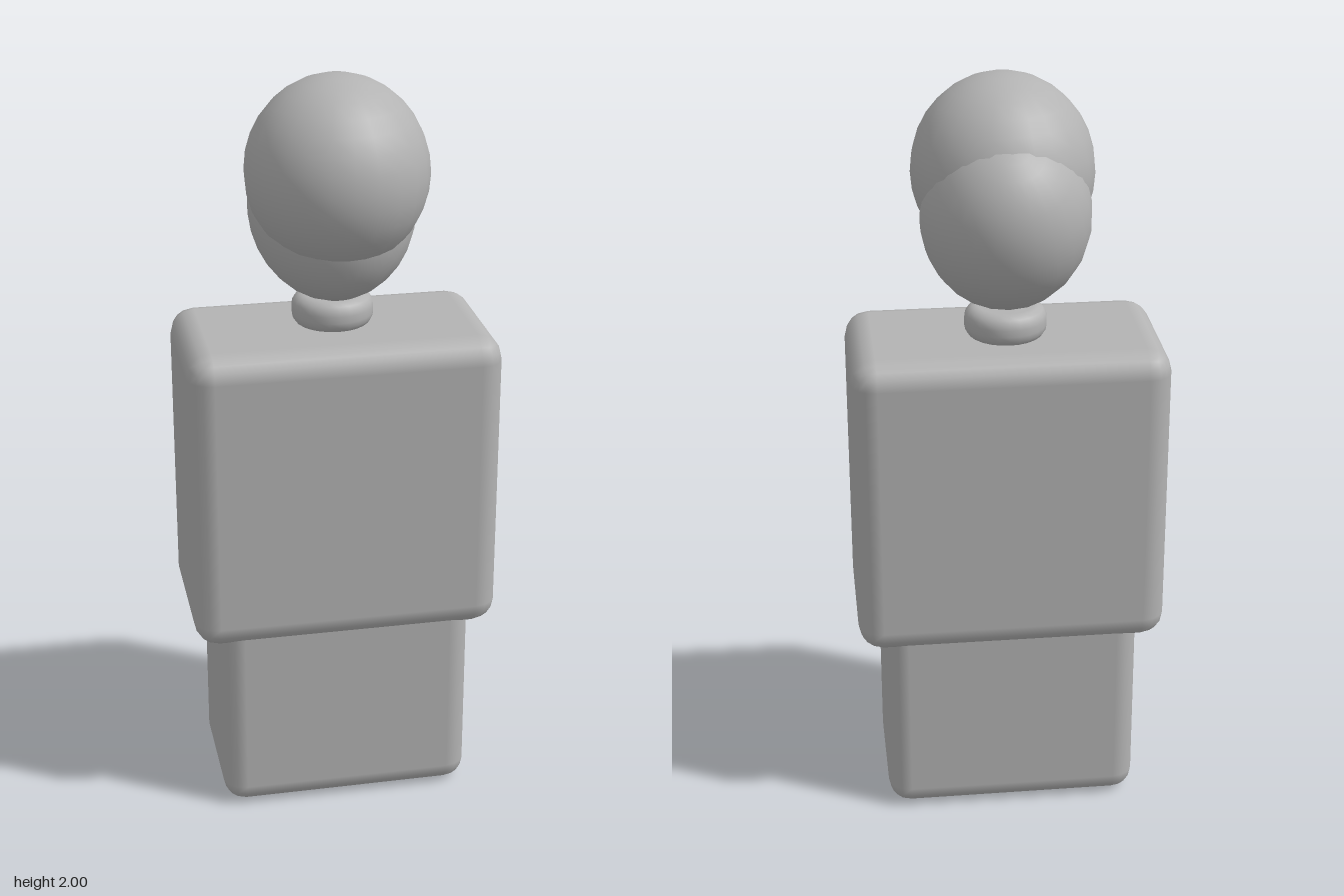
import * as THREE from 'three';
import { RoundedBoxGeometry } from 'three/addons/geometries/RoundedBoxGeometry.js';

export function createModel() {
  const model = new THREE.Group();
  model.name = 'bust';
  const grey = new THREE.MeshStandardMaterial({ color: 0xb3b3b3 });
  grey.name = 'clay grey';

  function add(name, geometry, x, y, z) {
    const mesh = new THREE.Mesh(geometry, grey);
    mesh.name = name;
    mesh.position.set(x, y, z);
    model.add(mesh);
    return mesh;
  }

  // Body blocks with softened edges
  add('pelvis', new RoundedBoxGeometry(0.68, 0.6, 0.41, 2, 0.06), 0, 0.303, -0.011);
  add('torso', new RoundedBoxGeometry(0.82, 0.825, 0.456, 2, 0.065), 0, 0.922, -0.014);

  // Neck: short disc with rounded rims
  const radius = 0.107, half = 0.043, rim = 0.034;
  const profile = [new THREE.Vector2(0, -half)];
  for (const side of [-1, 1]) {
    for (let i = 0; i <= 4; i++) {
      const a = (side < 0 ? i - 4 : i) * Math.PI / 8;
      profile.push(new THREE.Vector2(
        radius - rim + rim * Math.cos(a),
        side * (half - rim) + rim * Math.sin(a)));
    }
  }
  profile.push(new THREE.Vector2(0, half));
  add('neck', new THREE.LatheGeometry(profile, 24), 0, 1.37, -0.03);

  // Head: two overlapping ellipsoids
  const ball = new THREE.SphereGeometry(1, 24, 16);
  add('headFront', ball, 0, 1.755, 0.033).scale.set(0.235, 0.245, 0.245);
  const back = add('headBack', ball, 0, 1.653, -0.038);
  back.scale.set(0.218, 0.255, 0.229);
  back.rotation.x = -0.58;

  return model;
}
